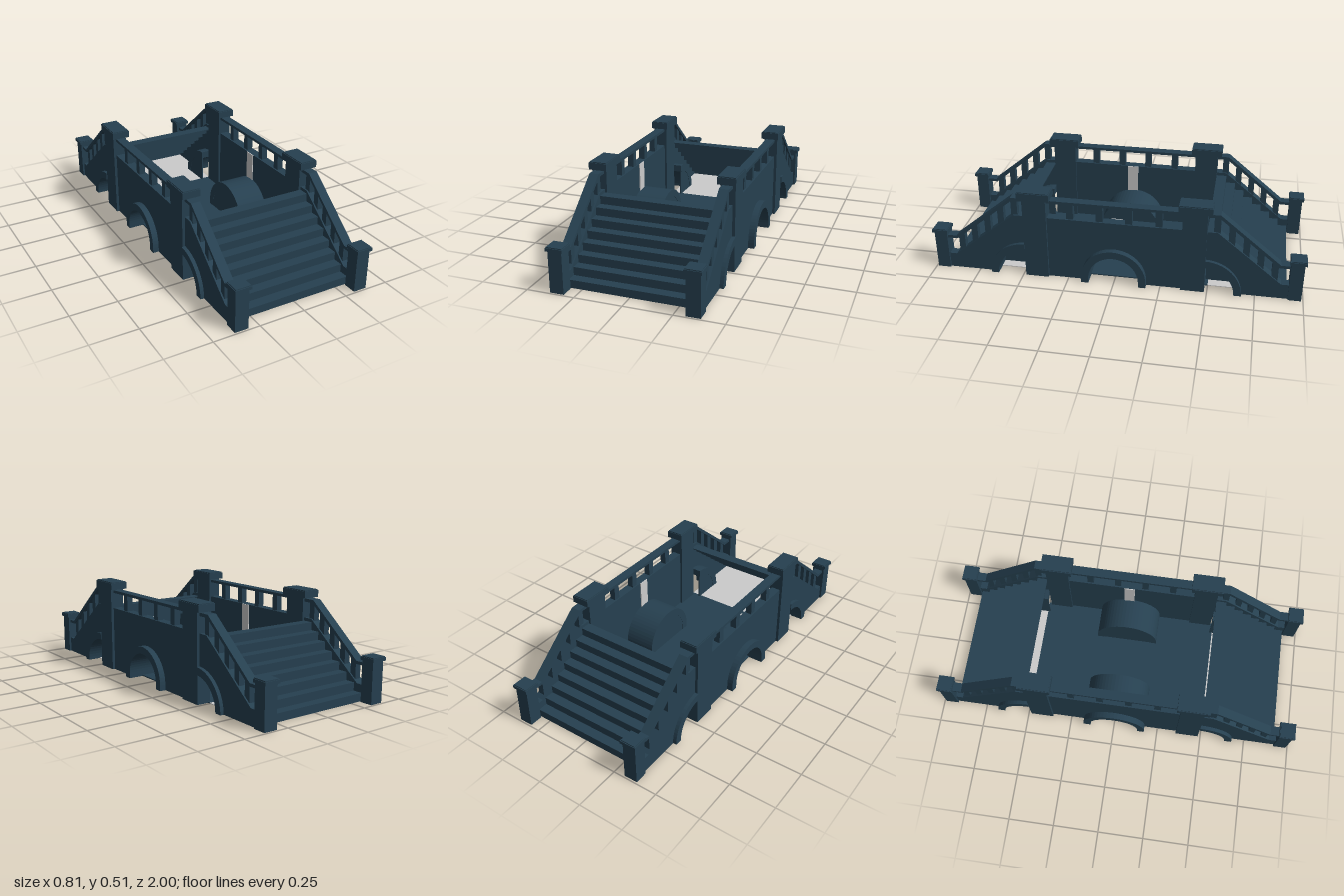
import * as THREE from 'three';

const teal = new THREE.MeshStandardMaterial({ color: 0x264050, side: THREE.DoubleSide });
teal.name = 'dark teal stone';
const grey = new THREE.MeshStandardMaterial({ color: 0xcccccc, side: THREE.DoubleSide });
grey.name = 'light grey lining';

export function createModel() {
  const model = new THREE.Group();

  const add = (name, geometry, material = teal) => {
    const mesh = new THREE.Mesh(geometry, material);
    mesh.name = name;
    model.add(mesh);
  };

  // Box given by its limits
  const box = (name, x0, x1, y0, y1, z0, z1, material) => {
    const g = new THREE.BoxGeometry(x1 - x0, y1 - y0, Math.abs(z1 - z0));
    g.translate((x0 + x1) / 2, (y0 + y1) / 2, (z0 + z1) / 2);
    add(name, g, material);
  };

  // Side profile of [z, y] points, extruded from x0 to x1
  const slab = (name, points, x0, x1) => {
    const shape = new THREE.Shape(points.map(([z, y]) => new THREE.Vector2(z, y)));
    const g = new THREE.ExtrudeGeometry(shape, { depth: x1 - x0, bevelEnabled: false });
    g.rotateY(-Math.PI / 2);
    g.translate(x1, 0, 0);
    add(name, g);
  };

  const arc = (cz, cy, r, a0, a1, n = 28) => Array.from({ length: n + 1 }, (_, i) => {
    const a = a0 + (a1 - a0) * i / n;
    return [cz + r * Math.cos(a), cy + r * Math.sin(a)];
  });
  const reversed = (points) => [...points].reverse();

  // Full arch with short straight legs, and quarter arch beside a pier
  const fullArch = (r) => [[r, 0], ...arc(0, 0.03, r, 0, Math.PI), [-r, 0]];
  const quarterArch = (r) => arc(0.485, 0, r, 0, Math.PI / 2, 14);

  // Floor between the stairs
  box('floor', -0.32, 0.32, 0, 0.006, -0.5, 0.5);

  for (const sz of [-1, 1]) {
    const mz = (points) => points.map(([z, y]) => [z * sz, y]);

    // Stairs as a thin stepped shell
    const steps = 8, rise = 0.343 / steps, run = 0.053, t = 0.006;
    const top = [[0.913, 0]];
    for (let i = 0; i < steps; i++) {
      const z = 0.913 - i * run;
      top.push([z, (i + 1) * rise], [i === steps - 1 ? 0.485 : z - run, (i + 1) * rise]);
    }
    const under = top.map(([z, y], i) => [i === top.length - 1 ? z : z - t, i === 0 ? 0 : y - t]);
    slab('stairs', mz([...top, ...reversed(under)]), -0.32, 0.32);
    box('stairBase', -0.32, 0.32, 0, 0.004, sz * 0.5, sz * 0.91, grey);
  }

  for (const sx of [-1, 1]) {
    const span = (a, b) => (sx > 0 ? [a, b] : [-b, -a]);

    // Middle parapet wall with its arch tunnel
    slab('parapetWall', [[0.48, 0], ...fullArch(0.135), [-0.48, 0], [-0.48, 0.36], [0.48, 0.36]],
      ...span(0.32, 0.37));
    slab('archTunnel', [...fullArch(0.175), ...reversed(fullArch(0.135))], ...span(0.145, 0.403));
    slab('archBack', fullArch(0.136), ...span(0.147, 0.153));
    box('liningStrip', ...span(0.314, 0.319), 0.2, 0.36, -sx * 0.04, sx * 0.02, grey);

    // Middle railing
    box('handrail', ...span(0.32, 0.37), 0.448, 0.463, -0.4, 0.4);
    for (const z of [-0.235, -0.078, 0.078, 0.235]) {
      box('baluster', ...span(0.328, 0.362), 0.36, 0.45, z - 0.018, z + 0.018);
    }

    for (const sz of [-1, 1]) {
      const mz = (points) => points.map(([z, y]) => [z * sz, y]);

      // Tall pier and cap
      box('pier', ...span(0.308, 0.385), 0, 0.47, sz * 0.358, sz * 0.485);
      box('pierCap', ...span(0.296, 0.394), 0.468, 0.505, sz * 0.337, sz * 0.51);
      box('pierCapTop', ...span(0.3, 0.39), 0.505, 0.51, sz * 0.341, sz * 0.506);

      // End post and cap
      box('endPost', ...span(0.308, 0.381), 0, 0.22, sz * 0.92, sz * 0.99);
      box('endPostCap', ...span(0.3, 0.389), 0.218, 0.235, sz * 0.915, sz);
      box('endPostCapTop', ...span(0.304, 0.385), 0.235, 0.24, sz * 0.919, sz * 0.996);

      // Sloping stair wall with a quarter arch
      slab('stairWall', mz([...quarterArch(0.155), [0.485, 0.36], [0.54, 0.36],
        [0.88, 0.085], [0.925, 0.085], [0.925, 0]]), ...span(0.32, 0.37));
      slab('sideArch', mz([...quarterArch(0.195), ...reversed(quarterArch(0.155))]),
        ...span(0.26, 0.39));
      slab('sideArchBack', mz([...quarterArch(0.156), [0.485, 0]]), ...span(0.262, 0.268));

      // Sloping handrail
      slab('stairHandrail', mz([[0.48, 0.463], [0.55, 0.463], [0.87, 0.2], [0.925, 0.2],
        [0.925, 0.184], [0.864, 0.184], [0.544, 0.446], [0.48, 0.446]]), ...span(0.32, 0.37));

      // Stair balusters, cut to the slope
      const wallY = (z) => Math.min(0.36, 0.36 - (z - 0.54) * 0.81);
      for (let i = 0; i < 5; i++) {
        const a = 0.535 + i * 0.077 - 0.017, b = a + 0.034;
        slab('stairBaluster', mz([[a, wallY(a) - 0.01], [b, wallY(b) - 0.01],
          [b, wallY(b) + 0.092], [a, wallY(a) + 0.092]]), ...span(0.328, 0.362));
      }
    }
  }
  return model;
}
